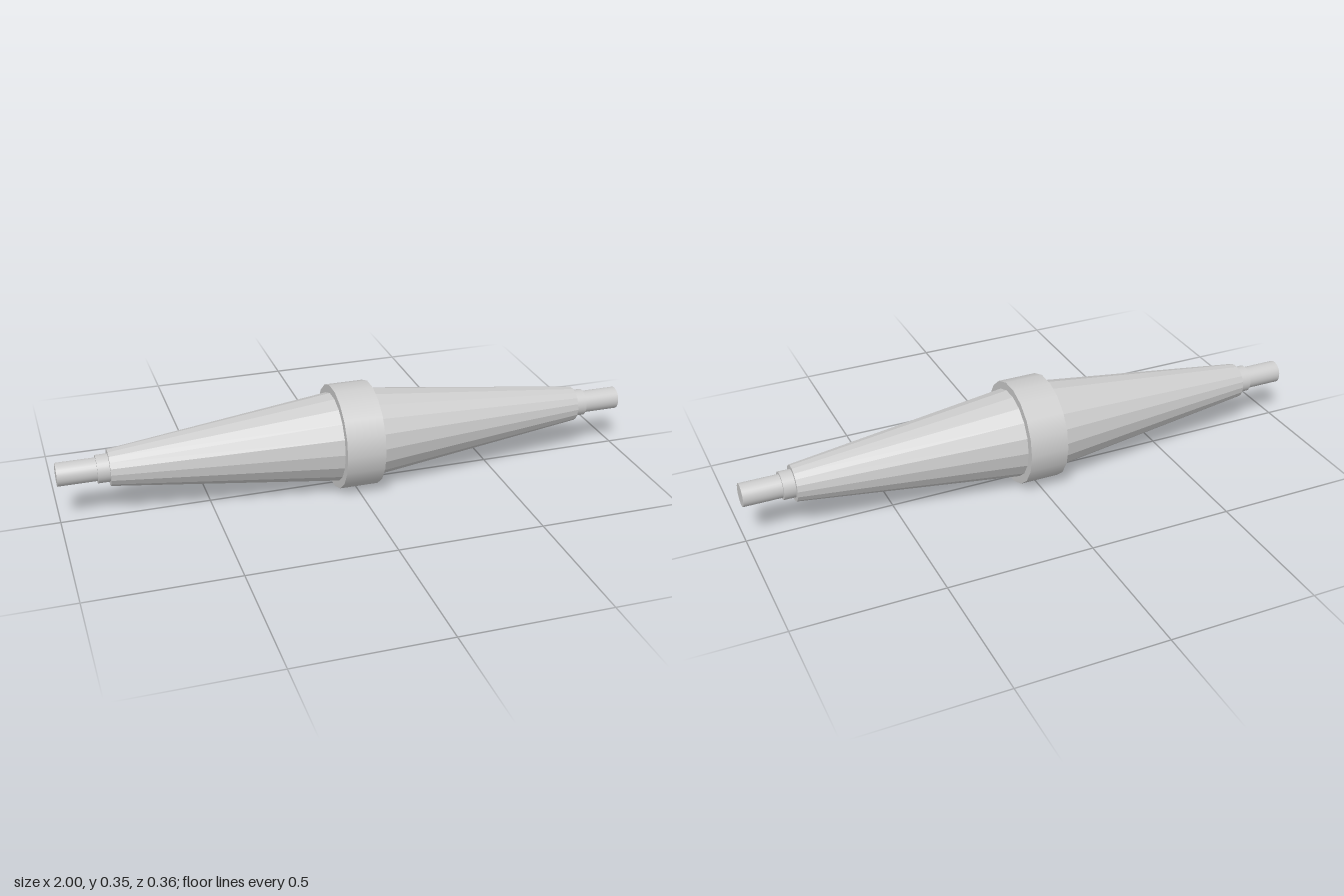
import * as THREE from 'three';

export function createModel() {
  const model = new THREE.Group();
  const smooth = new THREE.MeshStandardMaterial({ color: 0xcccccc });
  const faceted = new THREE.MeshStandardMaterial({ color: 0xcccccc, flatShading: true });
  const axisY = 0.177;

  // Round section lying along x, from x0 (radius r0) to x1 (radius r1)
  function section(name, x0, r0, x1, r1, sides, material) {
    const geometry = new THREE.CylinderGeometry(r1, r0, x1 - x0, sides);
    geometry.rotateZ(-Math.PI / 2);
    geometry.translate((x0 + x1) / 2, 0, 0);
    const mesh = new THREE.Mesh(geometry, material);
    mesh.name = name;
    return mesh;
  }

  // Central band
  const band = section('centreBand', -0.067, 0.18, 0.067, 0.18, 18, smooth);
  band.position.y = axisY;
  model.add(band);

  // Two matching tapered ends, each with a collar and a pin
  for (const side of ['left', 'right']) {
    const half = new THREE.Group();
    half.name = side + 'Half';
    half.add(
      section('taperedBody', 0, 0.161, 0.83, 0.061, 18, faceted),
      section('collar', 0.82, 0.047, 0.87, 0.047, 32, smooth),
      section('endPin', 0.86, 0.039, 1, 0.039, 32, smooth)
    );
    half.position.y = axisY;
    if (side === 'right') half.rotation.y = Math.PI;
    model.add(half);
  }
  return model;
}
